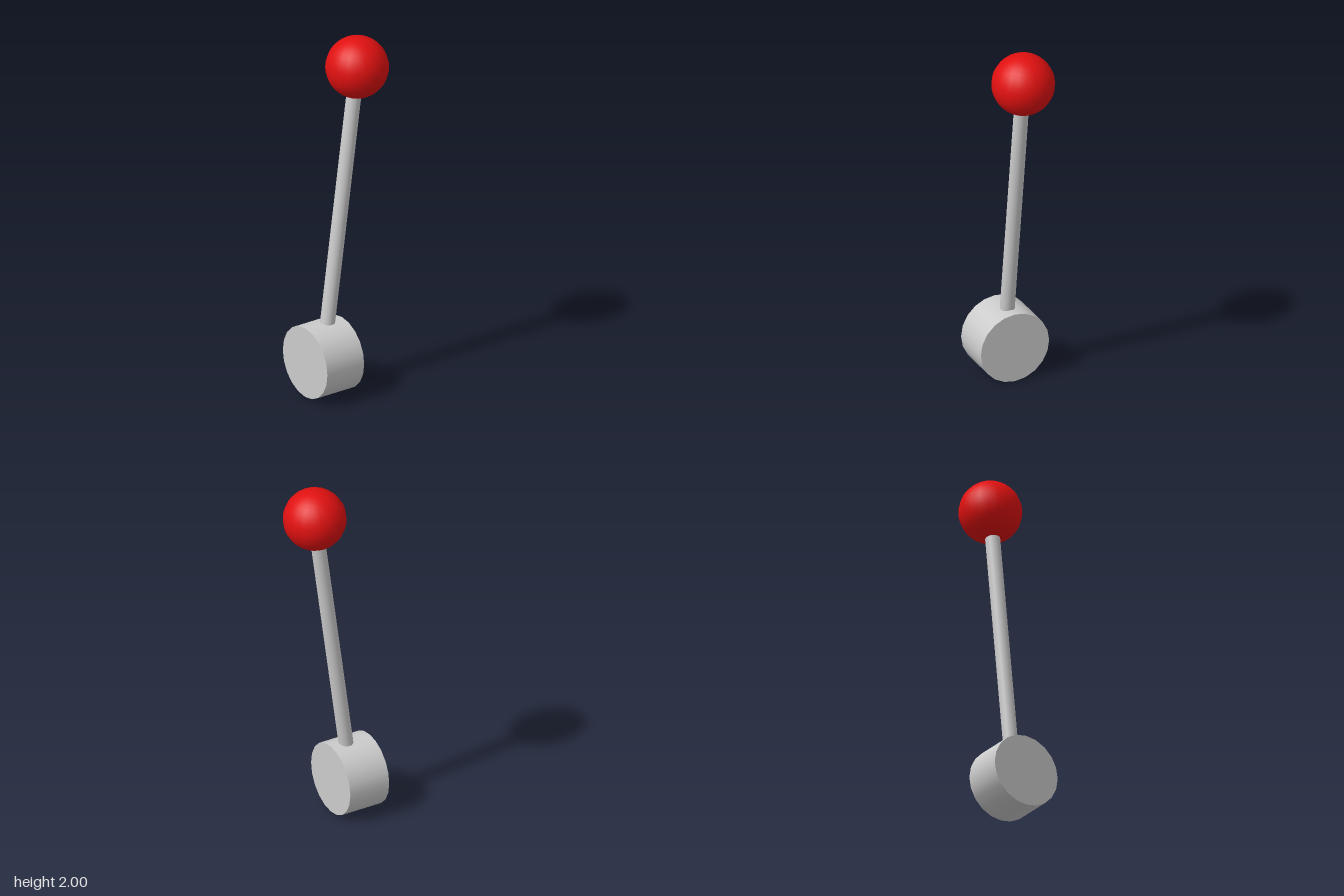
import * as THREE from 'three';

const SIDES = 20;

export function createModel() {
  const group = new THREE.Group();
  const grey = new THREE.MeshStandardMaterial({ color: 0xcccccc });
  const red = new THREE.MeshStandardMaterial({ color: 0xe01010 });
  const pivot = new THREE.Vector3(-0.135, 0.2, 0);
  const tip = new THREE.Vector3(0.084, 1.831, 0);

  const add = (name, geometry, material, position) => {
    const mesh = new THREE.Mesh(geometry, material);
    mesh.name = name;
    mesh.position.copy(position);
    group.add(mesh);
    return mesh;
  };

  // Pivot drum lying along x
  const hub = new THREE.CylinderGeometry(0.2, 0.2, 0.24, SIDES).rotateZ(Math.PI / 2);
  add('pivotHub', hub, grey, pivot);

  // Tilted rod from the drum's centre to the knob
  const along = tip.clone().sub(pivot);
  const rod = add('leverRod', new THREE.CylinderGeometry(0.04, 0.04, along.length(), SIDES),
    grey, pivot.clone().add(tip).multiplyScalar(0.5));
  rod.quaternion.setFromUnitVectors(new THREE.Vector3(0, 1, 0), along.normalize());

  // Ball knob
  add('ballKnob', new THREE.SphereGeometry(0.169, SIDES, SIDES), red, tip);

  return group;
}
